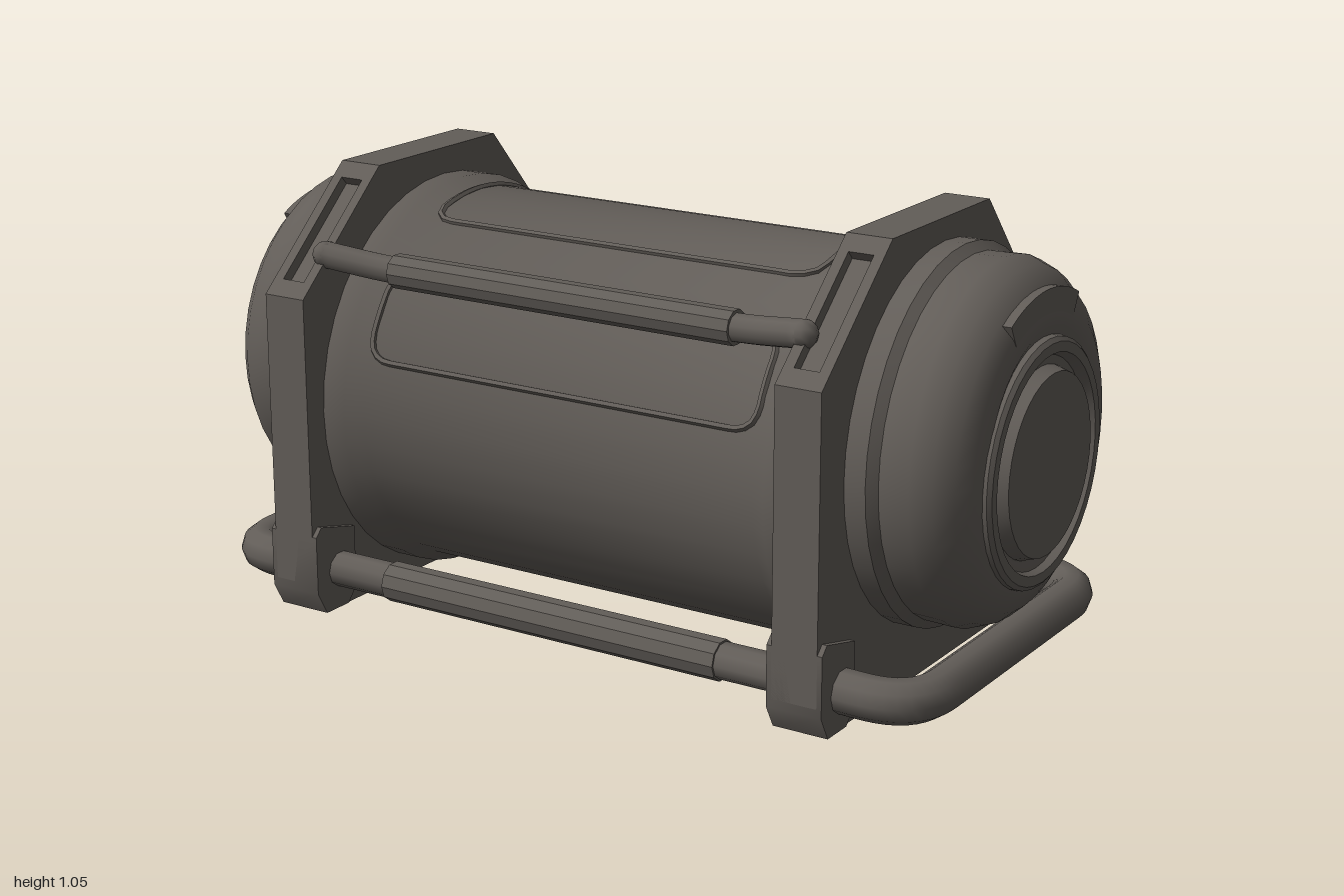
import * as THREE from 'three';
import { toCreasedNormals } from 'three/addons/utils/BufferGeometryUtils.js';

const BODY = { r: 0.453, y: 0.51, z: 0.025 }; // main drum between the frames
const CAP = { y: 0.568, z: 0.03 }; // axis of the domed ends
const V = (x, y, z) => new THREE.Vector3(x, y, z);

export function createModel() {
  const metal = new THREE.MeshStandardMaterial({ color: 0x625d58 });
  metal.name = 'dark grey metal';
  const model = new THREE.Group();
  model.name = 'tank';

  const add = (name, geometry, crease = 0.6) => {
    const mesh = new THREE.Mesh(toCreasedNormals(geometry, crease), metal);
    mesh.name = name;
    model.add(mesh);
    return mesh;
  };

  // Turned part along x; profile points are [x, radius], side -1 mirrors it
  const turned = (name, profile, y, z, side = 1) => {
    const points = profile.map(([x, r]) => new THREE.Vector2(r, x));
    add(name, new THREE.LatheGeometry(points, 40).rotateZ(-side * Math.PI / 2).translate(0, y, z));
  };

  // Pipe through points with rounded corners, closed by ball ends
  const pipe = (name, points, radius, bend = 0.06) => {
    const path = new THREE.CurvePath();
    let from = points[0];
    for (let i = 1; i < points.length - 1; i++) {
      const p = points[i];
      const a = p.clone().add(points[i - 1].clone().sub(p).setLength(bend));
      const b = p.clone().add(points[i + 1].clone().sub(p).setLength(bend));
      path.add(new THREE.LineCurve3(from, a));
      path.add(new THREE.QuadraticBezierCurve3(a, p, b));
      from = b;
    }
    path.add(new THREE.LineCurve3(from, points[points.length - 1]));
    add(name, new THREE.TubeGeometry(path, points.length > 2 ? 60 : 1, radius, 10), 0.9);
    for (const end of [points[0], points[points.length - 1]]) {
      add(name + 'End', new THREE.SphereGeometry(radius, 10, 6).translate(end.x, end.y, end.z), 0.9);
    }
  };
  const sleeve = (name, radius, length, x, y, z) =>
    add(name, new THREE.CylinderGeometry(radius, radius, length, 10).rotateZ(Math.PI / 2).translate(x, y, z));

  // Main drum, flaring into a collar at each frame
  const { r } = BODY;
  turned('drum', [[-0.64, r + 0.024], [-0.56, r + 0.024], [-0.52, r], [0.52, r], [0.56, r + 0.024], [0.64, r + 0.024]], BODY.y, BODY.z);

  // Octagonal end frames: three slabs each, the middle one notched to form slots
  const outline = [
    [0.27, 1.05], [-0.18, 1.05], [-0.48, 0.71], [-0.48, 0.08],
    [-0.43, 0.02], [0.5, 0.02], [0.56, 0.1], [0.56, 0.79],
  ];
  const notch = (a, b, t0, t1, depth) => {
    const dz = b[0] - a[0], dy = b[1] - a[1], len = Math.hypot(dz, dy);
    const at = (t, d) => [a[0] + dz * t + (dy / len) * -d, a[1] + dy * t + (dz / len) * d];
    return [at(t0, 0), at(t0, depth), at(t1, depth), at(t1, 0)];
  };
  const notched = [
    outline[0], outline[1],
    ...notch(outline[1], outline[2], 0.13, 0.8, 0.025),
    ...outline.slice(2),
    ...notch(outline[7], outline[0], 0.12, 0.88, 0.025),
  ];
  const slab = (name, points, x0, x1) => {
    const shape = new THREE.Shape(points.map(([z, y]) => new THREE.Vector2(-z, y)));
    const g = new THREE.ExtrudeGeometry(shape, { depth: x1 - x0, bevelEnabled: false });
    add(name, g.rotateY(Math.PI / 2).translate(x0, 0, 0));
  };

  for (const s of [-1, 1]) {
    const c = s * 0.675;
    slab('frameInner', outline, c - 0.055, c - 0.03);
    slab('frameSlots', notched, c - 0.03, c + 0.03);
    slab('frameOuter', outline, c + 0.03, c + 0.055);

    // Domed cap, then its raised ring, groove and centre disc
    turned('endCap', [
      [0.7, 0.43], [0.78, 0.43], [0.80, 0.41], [0.87, 0.412], [0.915, 0.394],
      [0.95, 0.362], [0.972, 0.32], [0.978, 0.27], [0.965, 0.24], [0.965, 0],
    ], CAP.y, CAP.z, s);
    turned('endFitting', [
      [0.93, 0.285], [0.985, 0.278], [0.993, 0.268], [0.993, 0.245],
      [0.968, 0.235], [0.968, 0.215], [1, 0.205], [1, 0],
    ], 0.54, 0.035, s);

    // Rail clamps at the lower corners of the frame
    const clamp = [[-0.07, 0.06], [-0.04, 0.025], [0.04, 0.025], [0.07, 0.08], [0.07, 0.22], [0.05, 0.24], [-0.07, 0.21]];
    slab('frontClamp', clamp.map(([z, y]) => [z + 0.49, y]), c - 0.067, c + 0.067);
    slab('backClamp', clamp.map(([z, y]) => [-0.415 - z, y]).reverse(), c - 0.067, c + 0.067);

    // Bumper loop around the end
    pipe('endBumper', [
      V(s * 0.68, 0.115, 0.47), V(s * 0.91, 0.11, 0.47),
      V(s * 0.91, 0.11, -0.39), V(s * 0.68, 0.115, -0.39),
    ], 0.05, 0.12);

    // Raised arc on the cap above the end ring
    const arc = new THREE.Shape();
    arc.absarc(0, 0, 0.355, Math.PI * 0.35, Math.PI * 0.66, false);
    arc.absarc(0, 0, 0.3, Math.PI * 0.66, Math.PI * 0.35, true);
    const arcGeometry = new THREE.ExtrudeGeometry(arc, { depth: 0.025, bevelEnabled: false, curveSegments: 8 });
    add('capArc', arcGeometry.rotateY(Math.PI / 2).translate(s * 0.962 - 0.0125, CAP.y, CAP.z));
  }

  // Lower side rails with thicker sleeves
  for (const [name, z] of [['frontRail', 0.475], ['backRail', -0.4]]) {
    pipe(name, [V(-0.62, 0.12, z), V(0.62, 0.12, z)], 0.042);
    sleeve(name + 'Sleeve', 0.047, 0.9, 0, 0.12, z);
  }

  // Upper front grab bar, thicker along its middle
  pipe('frontBar', [V(-0.63, 0.875, 0.46), V(-0.48, 0.855, 0.43), V(0.48, 0.855, 0.43), V(0.63, 0.875, 0.46)], 0.032);
  sleeve('frontBarGrip', 0.04, 0.9, 0, 0.855, 0.43);

  // Bent pipe handle on the back, with a grip
  pipe('backHandle', [
    V(-0.6, 0.54, -0.42), V(-0.58, 0.54, -0.505), V(0.23, 0.54, -0.51),
    V(0.24, 0.26, -0.49), V(0.24, 0.22, -0.36),
  ], 0.038, 0.05);
  sleeve('backGrip', 0.044, 0.36, -0.17, 0.54, -0.509);

  // Rounded panel outlines wrapped around the drum (angle 0 is front, 90 is up)
  const panel = (name, w, deg0, deg1) => {
    const R = r + 0.001, a0 = deg0 * Math.PI / 180 * R, a1 = deg1 * Math.PI / 180 * R, c = 0.06;
    const s = new THREE.Shape();
    s.moveTo(-w + c, a0).lineTo(w - c, a0).quadraticCurveTo(w, a0, w, a0 + c);
    s.lineTo(w, a1 - c).quadraticCurveTo(w, a1, w - c, a1);
    s.lineTo(-w + c, a1).quadraticCurveTo(-w, a1, -w, a1 - c);
    s.lineTo(-w, a0 + c).quadraticCurveTo(-w, a0, -w + c, a0);
    const points = s.getSpacedPoints(80).slice(0, -1).map((p) =>
      V(p.x, BODY.y + Math.sin(p.y / R) * R, BODY.z + Math.cos(p.y / R) * R));
    add(name, new THREE.TubeGeometry(new THREE.CatmullRomCurve3(points, true), 120, 0.008, 5, true), 1);
  };
  panel('topPanelRim', 0.515, 66, 164);
  panel('frontPanelRim', 0.515, 17, 45);

  // Drain pipes under the drum
  pipe('underPipe', [
    V(-0.32, 0.12, -0.06), V(-0.24, 0.055, -0.06), V(0.1, 0.055, -0.06), V(0.22, 0.12, -0.06),
  ], 0.055, 0.05);
  pipe('underPipe', [
    V(0.18, 0.16, -0.2), V(0.26, 0.075, -0.2), V(0.38, 0.075, -0.2), V(0.48, 0.16, -0.2),
  ], 0.05, 0.05);

  return model;
}
